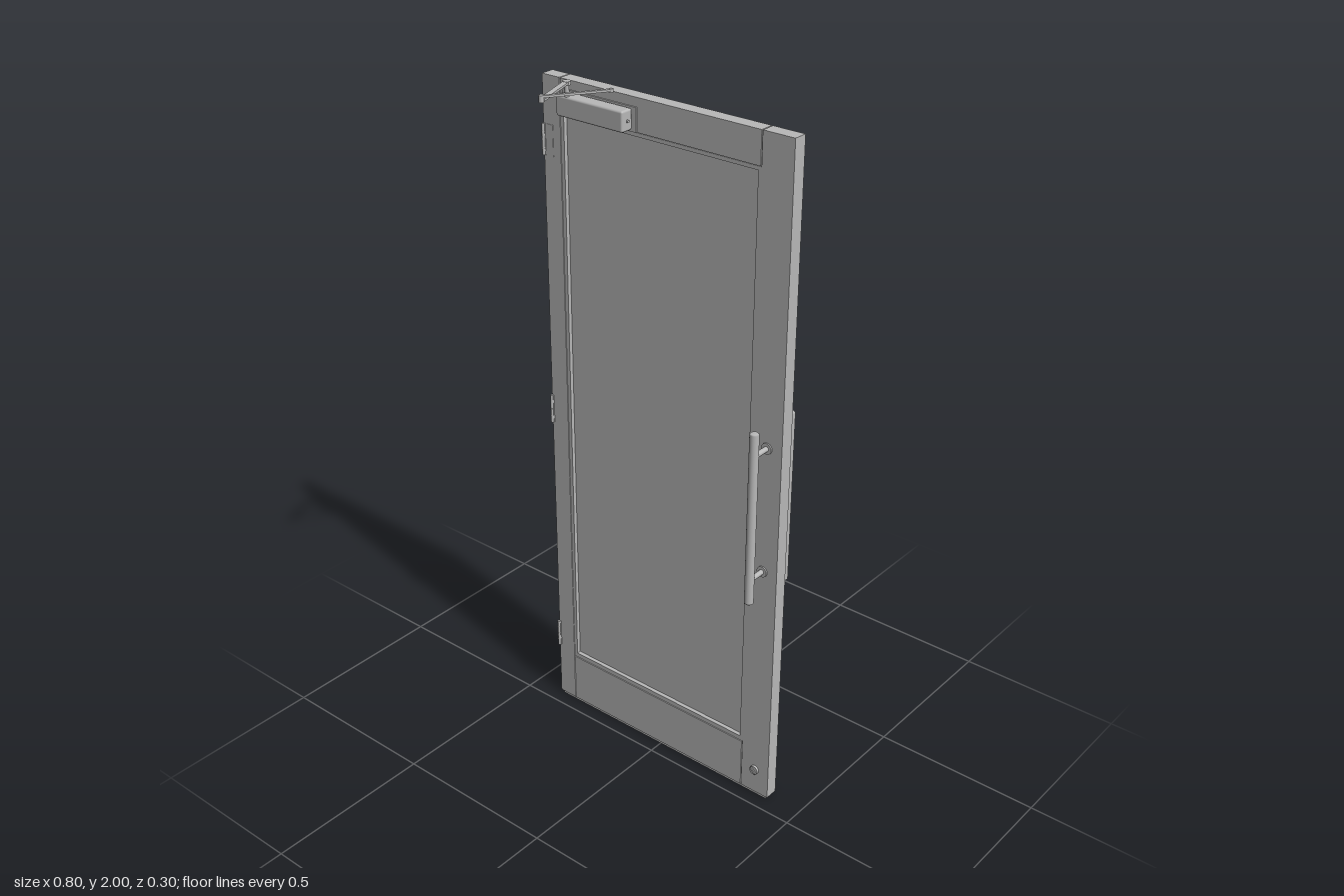
import * as THREE from 'three';
import { RoundedBoxGeometry } from 'three/addons/geometries/RoundedBoxGeometry.js';

export function createModel() {
  const door = new THREE.Group();
  door.name = 'door';
  const grey = new THREE.MeshStandardMaterial({ color: 0xb8b8b8 });
  grey.name = 'grey';

  const add = (name, geometry, parent = door) => {
    const mesh = new THREE.Mesh(geometry, grey);
    mesh.name = name;
    parent.add(mesh);
    return mesh;
  };
  // Box given by its minimum and maximum on each axis
  const box = (name, x0, x1, y0, y1, z0, z1, radius = 0) => {
    const w = x1 - x0, h = y1 - y0, d = z1 - z0;
    const g = radius ? new RoundedBoxGeometry(w, h, d, 2, radius) : new THREE.BoxGeometry(w, h, d);
    g.translate((x0 + x1) / 2, (y0 + y1) / 2, (z0 + z1) / 2);
    return add(name, g);
  };
  // Cylinder between two points
  const rod = (name, a, b, r, sides = 24) => {
    const p = new THREE.Vector3(...a), q = new THREE.Vector3(...b);
    const dir = q.clone().sub(p);
    const m = add(name, new THREE.CylinderGeometry(r, r, dir.length(), sides));
    m.position.copy(p).add(q).multiplyScalar(0.5);
    m.quaternion.setFromUnitVectors(new THREE.Vector3(0, 1, 0), dir.normalize());
    return m;
  };
  const rect = (path, x0, x1, y0, y1) =>
    path.moveTo(x0, y0).lineTo(x1, y0).lineTo(x1, y1).lineTo(x0, y1).closePath();

  const back = -0.08, front = -0.04;

  // Stiles and rails, with a fine groove at each joint
  box('hingeStile', -0.4, -0.341, 0.01, 1.98, back, front);
  box('lockStile', 0.306, 0.4, 0.01, 1.98, back, front);
  box('topRail', -0.338, 0.303, 1.89, 1.98, back, front);
  box('bottomRail', -0.338, 0.303, 0.01, 0.166, back, front);
  box('topRailCore', -0.342, 0.307, 1.885, 1.978, back + 0.003, front - 0.003);
  box('bottomRailCore', -0.342, 0.307, 0.012, 0.17, back + 0.003, front - 0.003);
  box('bottomSweep', -0.392, 0.392, 0, 0.012, back + 0.004, front - 0.004);

  // Glazing frame and glass
  const frame = new THREE.Shape();
  rect(frame, -0.342, 0.307, 0.169, 1.888);
  const opening = new THREE.Path();
  rect(opening, -0.33, 0.295, 0.181, 1.878);
  frame.holes.push(opening);
  const frameGeo = new THREE.ExtrudeGeometry(frame, { depth: 0.036, bevelEnabled: false });
  frameGeo.translate(0, 0, back + 0.002);
  add('glazingFrame', frameGeo);
  box('glassPanel', -0.335, 0.3, 0.176, 1.883, -0.066, -0.054);

  // Pull handles on both faces
  const hx = 0.353;
  for (const [face, z] of [[front, 0.017], [back, -0.138]]) {
    const s = Math.sign(z - face);
    const r = 0.013, c = 0.003;
    const profile = [[0, 0.695], [r - c, 0.695], [r, 0.695 + c], [r, 1.212 - c], [r - c, 1.212], [0, 1.212]]
      .map(([x, y]) => new THREE.Vector2(x, y));
    add('pullBar', new THREE.LatheGeometry(profile, 32)).position.set(hx, 0, z);
    for (const y of [0.768, 1.144]) {
      rod('handlePost', [hx, y, face], [hx, y, z], 0.0075);
      rod('handleRosette', [hx, y, face - s * 0.001], [hx, y, face + s * 0.004], 0.016);
    }
  }

  // Bottom lock with a key cylinder in front and a thumb turn behind
  const ly = 0.09;
  rod('lockCylinder', [hx, ly, -0.088], [hx, ly, -0.033], 0.014);
  for (const [z, d] of [[-0.031, 0.004], [-0.092, 0.012]]) {
    const turn = add('lockTurn', new RoundedBoxGeometry(0.024, 0.008, d, 2, 0.0015));
    turn.position.set(hx, ly, z);
    turn.rotation.z = -Math.PI / 4;
  }

  // Hinges on the left edge
  for (const y of [1.805, 1.008, 0.23]) {
    const h = 0.043;
    rod('hingeKnuckle', [-0.399, y - h, -0.037], [-0.399, y + h, -0.037], 0.0045, 16);
    box('hingeLeaf', -0.4, -0.393, y - h, y + h, front, front + 0.0025);
    box('hingeEdgeLeaf', -0.4015, -0.4, y - h, y + h, -0.072, front);
    for (const k of [-1, 0, 1]) {
      rod('hingeRing', [-0.399, y + k * 0.022 - 0.001, -0.037], [-0.399, y + k * 0.022 + 0.001, -0.037], 0.005, 16);
    }
  }
  box('topHingePlate', -0.393, -0.367, 1.762, 1.848, front, front + 0.001);

  // Door closer: plate, body, adjusting valve
  box('closerPlate', -0.328, -0.08, 1.89, 1.955, front - 0.001, -0.036);
  box('closerBody', -0.316, -0.093, 1.895, 1.951, -0.037, 0.002, 0.006);
  rod('closerValve', [-0.094, 1.922, -0.018], [-0.089, 1.922, -0.018], 0.004, 16);

  // Closer spindle and folding arm
  const pivot = [-0.282, -0.005], elbow = [-0.23, 0.144], tip = [-0.134, -0.005];
  const pin = (name, [x, z], y0, y1, r) => rod(name, [x, y0, z], [x, y1, z], r);
  pin('spindle', pivot, 1.948, 1.988, 0.006);
  pin('spindleCap', pivot, 1.981, 1.991, 0.011);
  pin('elbowPin', elbow, 1.982, 2, 0.007);
  pin('armTip', tip, 1.991, 2, 0.006);
  const arm = (name, a, b, y, width, height) => {
    const dx = b[0] - a[0], dz = b[1] - a[1];
    const m = add(name, new THREE.BoxGeometry(width, height, Math.hypot(dx, dz)));
    m.position.set((a[0] + b[0]) / 2, y, (a[1] + b[1]) / 2);
    m.rotation.y = Math.atan2(dx, dz);
  };
  arm('mainArm', pivot, elbow, 1.987, 0.016, 0.006);
  arm('foreArm', elbow, tip, 1.996, 0.009, 0.006);

  return door;
}
